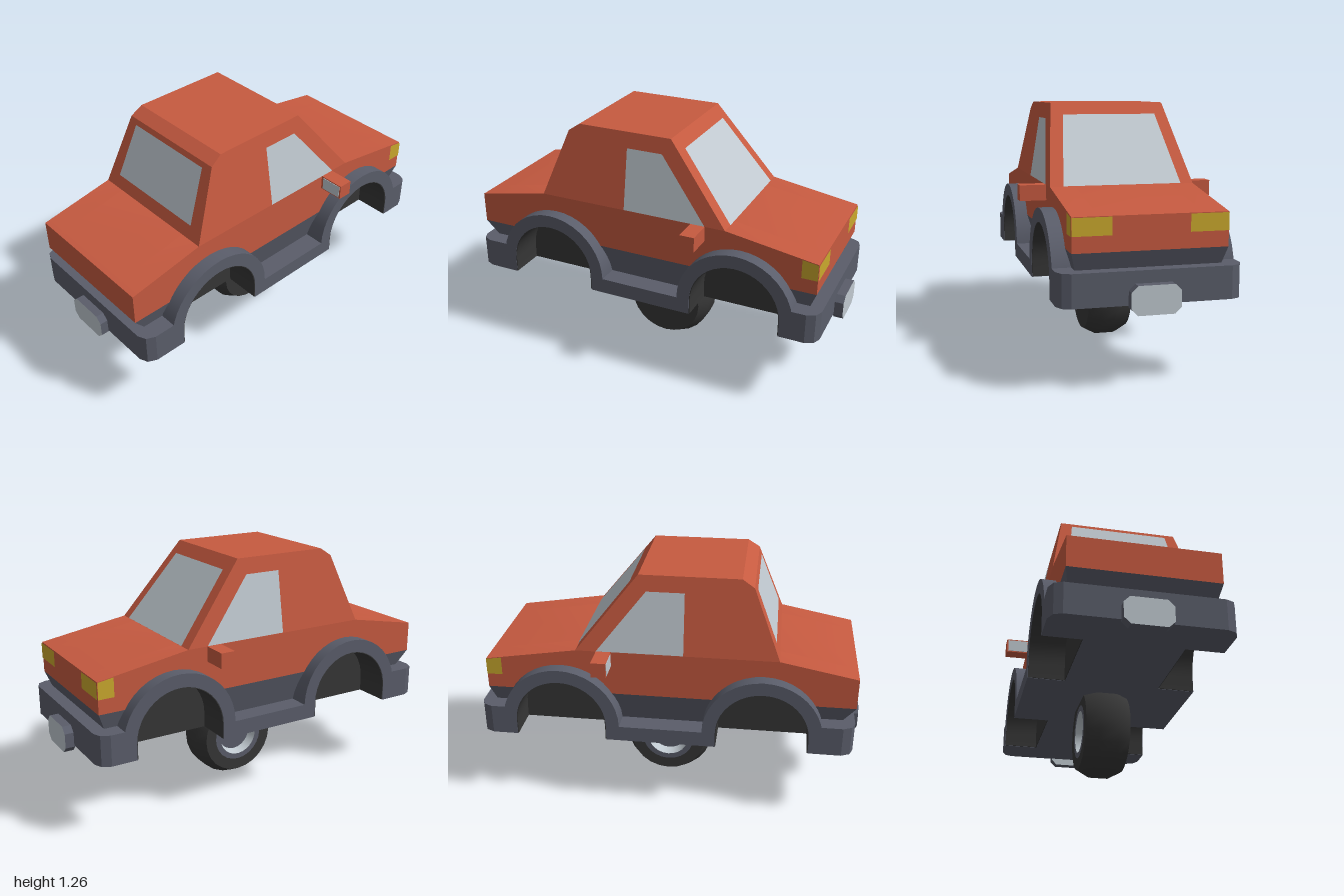
import * as THREE from 'three';
import { toCreasedNormals } from 'three/addons/utils/BufferGeometryUtils.js';

const mat = (name, color) => {
  const m = new THREE.MeshStandardMaterial({ color });
  m.name = name;
  return m;
};

export function createModel() {
  const red = mat('body red', 0xc65a40);
  const grey = mat('trim grey', 0x5a5d6a);
  const dark = mat('rubber black', 0x363636);
  const glass = mat('glass silver', 0xc0c9d0);
  const yellow = mat('lamp yellow', 0xcaa92d);
  const car = new THREE.Group();
  car.name = 'car';

  const add = (name, geo, material) => {
    const m = new THREE.Mesh(geo, material);
    m.name = name;
    car.add(m);
    return m;
  };
  const shape = (pts) => new THREE.Shape(pts.map(([x, y]) => new THREE.Vector2(x, y)));
  const extrude = (pts, depth) => new THREE.ExtrudeGeometry(shape(pts), { depth, bevelEnabled: false });

  // side profile (x, y) filled between two z limits that may depend on y
  const slab = (name, pts, back, front, material) => {
    const geo = extrude(pts, 1);
    const p = geo.attributes.position;
    for (let i = 0; i < p.count; i++) p.setZ(i, (p.getZ(i) > 0.5 ? front : back)(p.getY(i)));
    add(name, toCreasedNormals(geo, 0.3), material);
  };
  const at = (z) => () => z;
  // the same slab on both sides of the car, from zIn out to zOut(y)
  const sideSlabs = (name, pts, zIn, zOut, material) => {
    slab('left ' + name, pts, at(zIn), zOut, material);
    slab('right ' + name, pts, (y) => -zOut(y), at(-zIn), material);
  };
  // plan outline (x, z) mirrored over z and filled from y0 to y1
  const plan = (name, half, y0, y1) => {
    const geo = extrude([...half, ...half.map(([x, z]) => [x, -z]).reverse()], y1 - y0);
    geo.rotateX(Math.PI / 2).translate(0, y1, 0);
    add(name, toCreasedNormals(geo, 0.3), grey);
  };

  const wells = [-0.5, 0.53];
  const zWell = 0.24;
  const [rear, front] = wells;

  // lower body: core between the wells, and notched sides
  const lower = [[0.92, 0.63], [0.92, 0.79], [0.45, 0.865], [-0.57, 0.865], [-0.96, 0.79], [-0.96, 0.63]];
  const notch = [[-0.2, 0.63], [-0.12, 0.7], [0, 0.735], [0.12, 0.7], [0.2, 0.63]];
  const notches = wells.flatMap((cx) => notch.map(([x, y]) => [cx + x, y]));
  slab('lower body', lower, at(-zWell), at(zWell), red);
  sideSlabs('body side', [...lower, ...notches], zWell, at(0.362), red);

  // cabin narrowing to the roof
  const cabW = (y) => 0.362 - (y - 0.865) * 0.165;
  slab('cabin', [[-0.57, 0.865], [0.45, 0.865], [0.135, 1.26], [-0.37, 1.26], [-0.43, 1.22]],
    (y) => -cabW(y), cabW, red);

  // grey skirt under the body
  const skirtW = (y) => 0.362 - (0.63 - y) * 0.25;
  slab('skirt core', [[-0.845, 0.475], [0.86, 0.475], [0.92, 0.63], [-0.96, 0.63]], at(-zWell), at(zWell), grey);
  const skirts = [
    [-0.845, rear - 0.255, rear - 0.2, -0.96],
    [rear + 0.255, front - 0.255, front - 0.2, rear + 0.2],
    [front + 0.255, 0.86, 0.92, front + 0.2],
  ];
  for (const [a, b, c, d] of skirts) {
    sideSlabs('skirt side', [[a, 0.475], [b, 0.475], [c, 0.63], [d, 0.63]], zWell, skirtW, grey);
  }

  // chassis plate with wheel well notches, raised into bumpers at both ends
  const tail = [[-0.96, 0.37], [-0.943, 0.41], [-0.9, 0.43], [rear - 0.235, 0.43]];
  const nose = [[front + 0.235, 0.43], [0.895, 0.43], [0.938, 0.41], [0.955, 0.37]];
  plan('chassis', [
    ...tail, [rear - 0.235, zWell], [rear + 0.235, zWell], [rear + 0.235, 0.43],
    [front - 0.235, 0.43], [front - 0.235, zWell], [front + 0.235, zWell], ...nose,
  ], 0.395, 0.475);
  plan('rear bumper', tail, 0.475, 0.55);
  plan('front bumper', nose, 0.475, 0.55);

  // wheel arches: flare, dark lining and dark back wall
  const arch = (cx, r, legs) => {
    const pts = [];
    for (let i = 0; i <= 20; i++) {
      const a = Math.PI * (1 - i / 20);
      pts.push([cx + r * Math.cos(a), 0.475 + r * Math.sin(a)]);
    }
    return legs ? [[cx - r, 0.397], ...pts, [cx + r, 0.397]] : pts;
  };
  for (const cx of wells) {
    sideSlabs('arch flare', [...arch(cx, 0.303), ...arch(cx, 0.235).reverse()], zWell, at(0.43), grey);
    sideSlabs('well lining', [...arch(cx, 0.236, true), ...arch(cx, 0.231, true).reverse()], zWell, at(0.428), dark);
    sideSlabs('well back', arch(cx, 0.235, true), zWell - 0.004, at(zWell + 0.004), dark);
  }

  // thin painted panels, corners counter-clockwise from outside
  const panel = (name, corners, material) => {
    const v = corners.map((c) => new THREE.Vector3(...c));
    const n = v[1].clone().sub(v[0]).cross(v[2].clone().sub(v[0])).normalize();
    v.forEach((p) => p.addScaledVector(n, 0.004));
    const geo = new THREE.BufferGeometry().setFromPoints([v[0], v[1], v[2], v[0], v[2], v[3]]);
    geo.computeVertexNormals();
    add(name, geo, material);
  };
  const panelPair = (name, corners, material) => {
    panel('left ' + name, corners, material);
    panel('right ' + name, corners.map(([x, y, z]) => [x, y, -z]).reverse(), material);
  };
  panel('windshield', [[0.45, 0.865, 0.297], [0.45, 0.865, -0.297], [0.183, 1.2, -0.243], [0.183, 1.2, 0.243]], glass);
  panel('rear window', [[-0.545, 0.928, -0.28], [-0.545, 0.928, 0.28], [-0.44, 1.195, 0.25], [-0.44, 1.195, -0.25]], glass);
  panelPair('side window',
    [[-0.095, 0.867], [0.345, 0.867], [0.095, 1.18], [-0.095, 1.18]].map(([x, y]) => [x, y, cabW(y)]), glass);
  panelPair('headlight', [[0.92, 0.705, 0.362], [0.92, 0.705, 0.18], [0.92, 0.787, 0.18], [0.92, 0.787, 0.362]], yellow);
  panelPair('headlight side', [[0.84, 0.705, 0.362], [0.92, 0.705, 0.362], [0.92, 0.789, 0.362], [0.84, 0.801, 0.362]], yellow);

  // door mirrors with glass facing the rear
  for (const s of [1, -1]) {
    add('door mirror', new THREE.BoxGeometry(0.075, 0.077, 0.15), red).position.set(0.308, 0.827, s * 0.418);
    add('mirror glass', new THREE.BoxGeometry(0.004, 0.065, 0.11), glass).position.set(0.27, 0.827, s * 0.43);
  }

  // eight-sided plates on both bumpers
  const octagon = [[-0.115, -0.037], [-0.085, -0.067], [0.085, -0.067], [0.115, -0.037],
    [0.115, 0.037], [0.085, 0.067], [-0.085, 0.067], [-0.115, 0.037]];
  for (const x of [0.95, -1]) {
    const geo = extrude(octagon, 0.05).rotateY(Math.PI / 2);
    add('bumper plate', geo, [glass, grey]).position.set(x, 0.425, 0);
  }

  // single wheel under the middle, plain on one side and dished on the other
  const turned = (name, pts, material) => {
    const geo = new THREE.LatheGeometry(pts.map(([r, y]) => new THREE.Vector2(r, y)), 24);
    add(name, geo.rotateX(Math.PI / 2), material).position.set(0.015, 0.236, 0);
  };
  turned('tire tread', [[0.2, -0.115], [0.235, -0.05], [0.235, 0.05], [0.2, 0.115]], dark);
  turned('tire front face', [[0.2, 0.115], [0, 0.115]], dark);
  turned('tire back face', [[0.14, -0.115], [0.2, -0.115]], dark);
  turned('rim ring', [[0.11, -0.115], [0.14, -0.115]], grey);
  turned('rim dish', [[0.095, -0.07], [0.11, -0.115]], glass);
  turned('hub', [[0, -0.07], [0.095, -0.07]], grey);
  return car;
}
